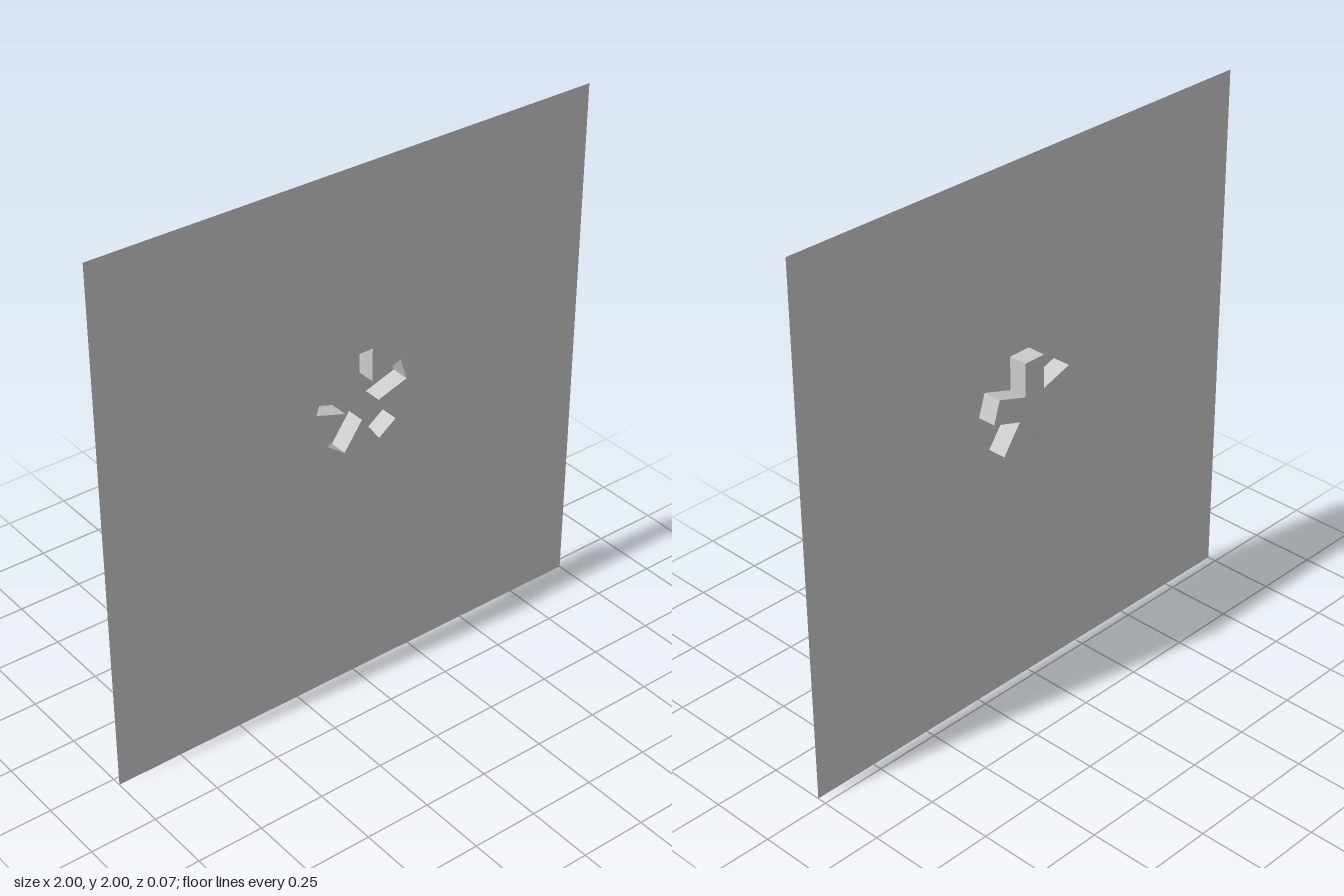
import * as THREE from 'three';

const FRONT = 0.035, BACK = -0.035;
const CENTRE = new THREE.Vector2(0.036, 1.122);
const ARM_LENGTH = 0.187, ARM_HALF = 0.044;

// Outline of a five-armed star with square arm ends, counter-clockwise
function starOutline() {
  const points = [];
  const notch = ARM_HALF / Math.sin(Math.PI / 5);
  for (let i = 0; i < 5; i++) {
    const a = Math.PI / 2 + (i * Math.PI * 2) / 5;
    const out = new THREE.Vector2(Math.cos(a), Math.sin(a));
    const side = new THREE.Vector2(-out.y, out.x);
    const end = CENTRE.clone().addScaledVector(out, ARM_LENGTH);
    const n = a + Math.PI / 5;
    points.push(
      end.clone().addScaledVector(side, -ARM_HALF),
      end.clone().addScaledVector(side, ARM_HALF),
      new THREE.Vector2(CENTRE.x + notch * Math.cos(n), CENTRE.y + notch * Math.sin(n))
    );
  }
  return points;
}

// Open band of flat quads following the outline from back to front
function wallGeometry(outline) {
  const positions = [];
  outline.forEach((p, i) => {
    const q = outline[(i + 1) % outline.length];
    positions.push(
      p.x, p.y, BACK, q.x, q.y, BACK, q.x, q.y, FRONT,
      p.x, p.y, BACK, q.x, q.y, FRONT, p.x, p.y, FRONT
    );
  });
  const geometry = new THREE.BufferGeometry();
  geometry.setAttribute('position', new THREE.Float32BufferAttribute(positions, 3));
  geometry.computeVertexNormals();
  return geometry;
}

export function createModel() {
  const model = new THREE.Group();
  model.name = 'panelWithStarRecess';
  const material = new THREE.MeshStandardMaterial({
    color: 0xcccccc, flatShading: true, side: THREE.DoubleSide,
  });
  const add = (name, geometry, z = 0) => {
    const mesh = new THREE.Mesh(geometry, material);
    mesh.name = name;
    mesh.position.z = z;
    model.add(mesh);
  };
  const outline = starOutline();

  // Thin square sheet with a star-shaped opening
  const sheet = new THREE.Shape([[-1, 0], [1, 0], [1, 2], [-1, 2]].map(([x, y]) => new THREE.Vector2(x, y)));
  sheet.holes.push(new THREE.Path([...outline].reverse()));
  add('sheet', new THREE.ShapeGeometry(sheet), FRONT);

  // Recess pushed out through the back of the sheet
  add('recessWalls', wallGeometry(outline));
  add('recessFloor', new THREE.ShapeGeometry(new THREE.Shape(outline)), BACK);

  return model;
}
